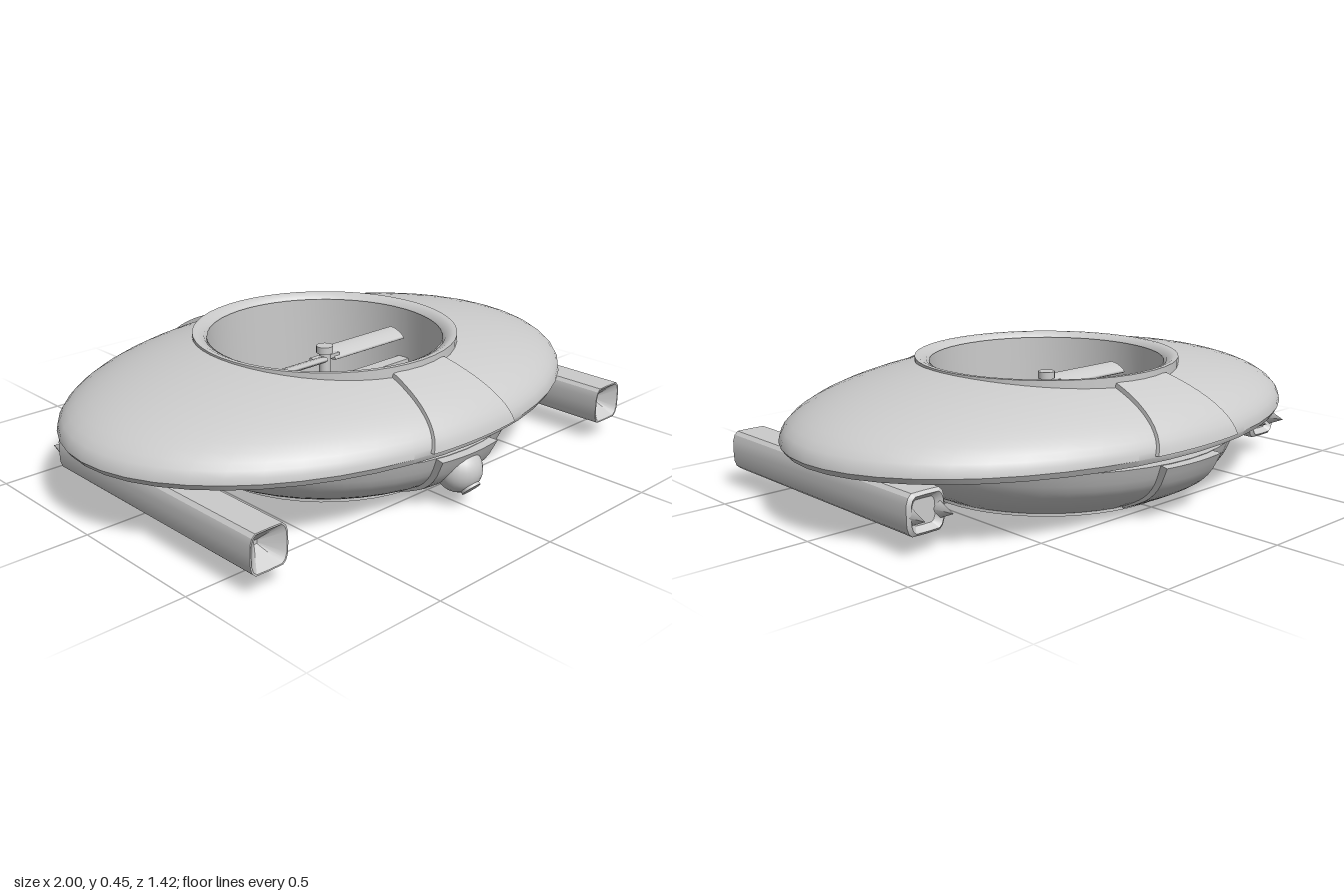
import * as THREE from 'three';
import { toCreasedNormals } from 'three/addons/utils/BufferGeometryUtils.js';

const grey = new THREE.MeshStandardMaterial({ color: 0xcccccc, side: THREE.DoubleSide });
const lerp = THREE.MathUtils.lerp;

function add(parent, name, geometry, x = 0, y = 0, z = 0) {
  const mesh = new THREE.Mesh(geometry, grey);
  mesh.name = name;
  mesh.position.set(x, y, z);
  parent.add(mesh);
  return mesh;
}

// Skin closed rings of [x, y, z] points; capped ends close on their centre.
function loft(rings, capped, crease = 0.6) {
  const n = rings[0].length;
  const centre = (ring) => {
    const c = [0, 1, 2].map((k) => ring.reduce((sum, p) => sum + p[k], 0) / n);
    return ring.map(() => c);
  };
  const all = capped ? [centre(rings[0]), ...rings, centre(rings[rings.length - 1])] : rings;
  const index = [];
  for (let i = 0; i < all.length - 1; i++) {
    for (let j = 0; j < n; j++) {
      const a = i * n + j, b = i * n + ((j + 1) % n);
      index.push(a, b, a + n, b, b + n, a + n);
    }
  }
  const geo = new THREE.BufferGeometry();
  geo.setAttribute('position', new THREE.Float32BufferAttribute(all.flat(2), 3));
  geo.setIndex(index);
  return toCreasedNormals(geo, crease);
}

// Elliptical dome around a round opening, closed by a flat underside.
function shellGeometry() {
  const segments = 48, steps = 12, rings = [];
  const ring = (f) => Array.from({ length: segments }, (_, j) => {
    const a = (j / segments) * Math.PI * 2;
    return f(Math.cos(a), Math.sin(a));
  });
  for (let i = 0; i <= steps; i++) {
    const k = Math.sin((i / steps) * Math.PI / 2);
    rings.push(ring((c, s) => {
      const x = c * lerp(0.45, 1, k), z = s * lerp(0.45, 0.695, k);
      const e = x * x + (z / 0.695) ** 2;
      return [x, 0.245 + 0.22 * Math.sqrt(Math.max(0, 1 - e)), z];
    }));
  }
  rings.push(ring((c, s) => [c * 0.985, 0.225, s * 0.685]));
  rings.push(ring((c, s) => [c * 0.96, 0.24, s * 0.66]));
  rings.push(ring((c, s) => [c * 0.6, 0.24, s * 0.6]));
  return loft(rings, false);
}

// Raised panel: surface(t, s, outer) gives its skin, t down and s across.
function panelGeometry(surface) {
  const rings = [], across = 8, down = 10;
  for (let i = 0; i <= down; i++) {
    const ring = [];
    for (let j = 0; j <= across; j++) ring.push(surface(i / down, 1 - (2 * j) / across, true));
    for (let j = 0; j <= across; j++) ring.push(surface(i / down, (2 * j) / across - 1, false));
    rings.push(ring);
  }
  return loft(rings, true);
}

// Bowl profile of the lower hull, bottom to top.
const bowl = new THREE.SplineCurve([
  [0.46, 0.01], [0.53, 0.045], [0.585, 0.08], [0.63, 0.13], [0.66, 0.2],
].map((p) => new THREE.Vector2(...p)));

function upperPanel(t, s, outer) {
  const phi = lerp(0.69, 1.53, t), x = s * lerp(0.12, 0.195, t);
  const r = Math.sqrt(1 - x * x);
  return [x, 0.24 + (outer ? 0.245 : 0.2) * Math.cos(phi) * r, (outer ? 0.708 : 0.66) * Math.sin(phi) * r];
}

function lowerPanel(t, s, outer) {
  const p = bowl.getPoint(1 - t);
  const r = p.x + (outer ? lerp(0.03, 0.006, t) : -0.03), a = s * 0.195;
  return [r * Math.sin(a), p.y - (outer ? 0.004 : 0), r * Math.cos(a)];
}

// Barrel-shaped skid section, hollowed to a point at the front.
function skidGeometry() {
  const half = [[0.07, 0], [0.069, 0.035], [0.062, 0.055], [0.05, 0.066], [0, 0.067]];
  const quarter = half.slice(1, 4);
  const section = [
    half[0], ...quarter, half[4],
    ...quarter.map(([x, y]) => [-x, y]).reverse(), [-0.07, 0],
    ...quarter.map(([x, y]) => [-x, -y]), [0, -0.067],
    ...quarter.map(([x, y]) => [x, -y]).reverse(),
  ];
  const at = (z, k) => section.map(([x, y]) => [x * k, y * k, z]);
  return loft([at(-0.33, 0.6), at(-0.35, 0.85), at(-0.34, 1), at(0.64, 1), at(0.64, 0.93), at(0.58, 0.1)], true, 0.45);
}

function makeSkid(side) {
  const skid = new THREE.Group();
  skid.name = side > 0 ? 'leftSkid' : 'rightSkid';
  skid.position.x = side * 0.81;
  add(skid, 'skidBody', skidGeometry(), 0, 0.133, 0);
  for (const x of [-0.052, 0.052]) {
    const prong = add(skid, 'rearProng', new THREE.ConeGeometry(0.03, 0.09, 4), x, 0.13, -0.36);
    prong.rotation.x = -Math.PI / 2;
    prong.scale.set(0.6, 1, 1.3);
    // Short legs carry the skid under its pad.
    for (const [z, lean] of [[0.06, 0.5], [-0.04, 0], [-0.15, -0.5]]) {
      const leg = add(skid, 'skidLeg', new THREE.BoxGeometry(0.018, 0.04, 0.018), x * 0.6, 0.207, z);
      leg.rotation.x = lean;
    }
  }
  const pad = add(skid, 'skidPad', new THREE.CylinderGeometry(1, 0.97, 0.025, 32), -side * 0.035, 0.23, -0.04);
  pad.scale.set(0.155, 1, 0.185);
  return skid;
}

function makeRotor() {
  const rotor = new THREE.Group();
  rotor.name = 'rotor';
  add(rotor, 'supportBar', new THREE.BoxGeometry(0.83, 0.025, 0.05), 0, 0.23, 0);
  add(rotor, 'shaft', new THREE.CylinderGeometry(0.02, 0.02, 0.15, 16), 0, 0.3, 0);
  add(rotor, 'hubCap', new THREE.CylinderGeometry(0.03, 0.03, 0.025, 16), 0, 0.37, 0);
  for (const turn of [0, Math.PI]) {
    const arm = new THREE.Group();
    arm.name = 'bladeArm';
    arm.rotation.y = turn;
    const blade = add(arm, 'blade', new THREE.CylinderGeometry(0.04, 0.04, 0.35, 12), 0.21, 0.34, -0.018);
    blade.rotation.set(0.35, 0, Math.PI / 2);
    blade.scale.x = 0.3;
    add(arm, 'bladeRoot', new THREE.BoxGeometry(0.06, 0.015, 0.025), 0.03, 0.34, 0);
    rotor.add(arm);
  }
  return rotor;
}

export function createModel() {
  const model = new THREE.Group();
  model.name = 'flyingCraft';

  // Lower bowl with the duct wall and recessed middle band.
  const profile = [
    [0.41, 0.43], [0.41, 0.015], [0.425, 0], [0.46, 0],
    ...bowl.getPoints(12).map((p) => [p.x, p.y]),
    [0.61, 0.2], [0.61, 0.245],
  ].map((p) => new THREE.Vector2(...p));
  add(model, 'lowerHull', toCreasedNormals(new THREE.LatheGeometry(profile, 48), 0.5));
  add(model, 'upperShell', shellGeometry());

  // Collar around the top opening.
  const collar = [[0.46, 0.38], [0.46, 0.447], [0.445, 0.447], [0.42, 0.435], [0.41, 0.415]]
    .map((p) => new THREE.Vector2(...p));
  add(model, 'ductCollar', toCreasedNormals(new THREE.LatheGeometry(collar, 48), 0.7));

  for (const [end, turn] of [['front', 0], ['rear', Math.PI]]) {
    add(model, end + 'UpperPanel', panelGeometry(upperPanel)).rotation.y = turn;
    add(model, end + 'LowerPanel', panelGeometry(lowerPanel)).rotation.y = turn;
  }

  // Camera ball with a small lens facing down and forward.
  add(model, 'cameraBall', new THREE.SphereGeometry(0.078, 24, 16), 0, 0.122, 0.63);
  const lens = add(model, 'cameraLens', new THREE.CylinderGeometry(0.034, 0.034, 0.012, 20), 0, 0.07, 0.682);
  lens.rotation.x = Math.PI * 0.75;

  model.add(makeRotor(), makeSkid(1), makeSkid(-1));
  return model;
}
